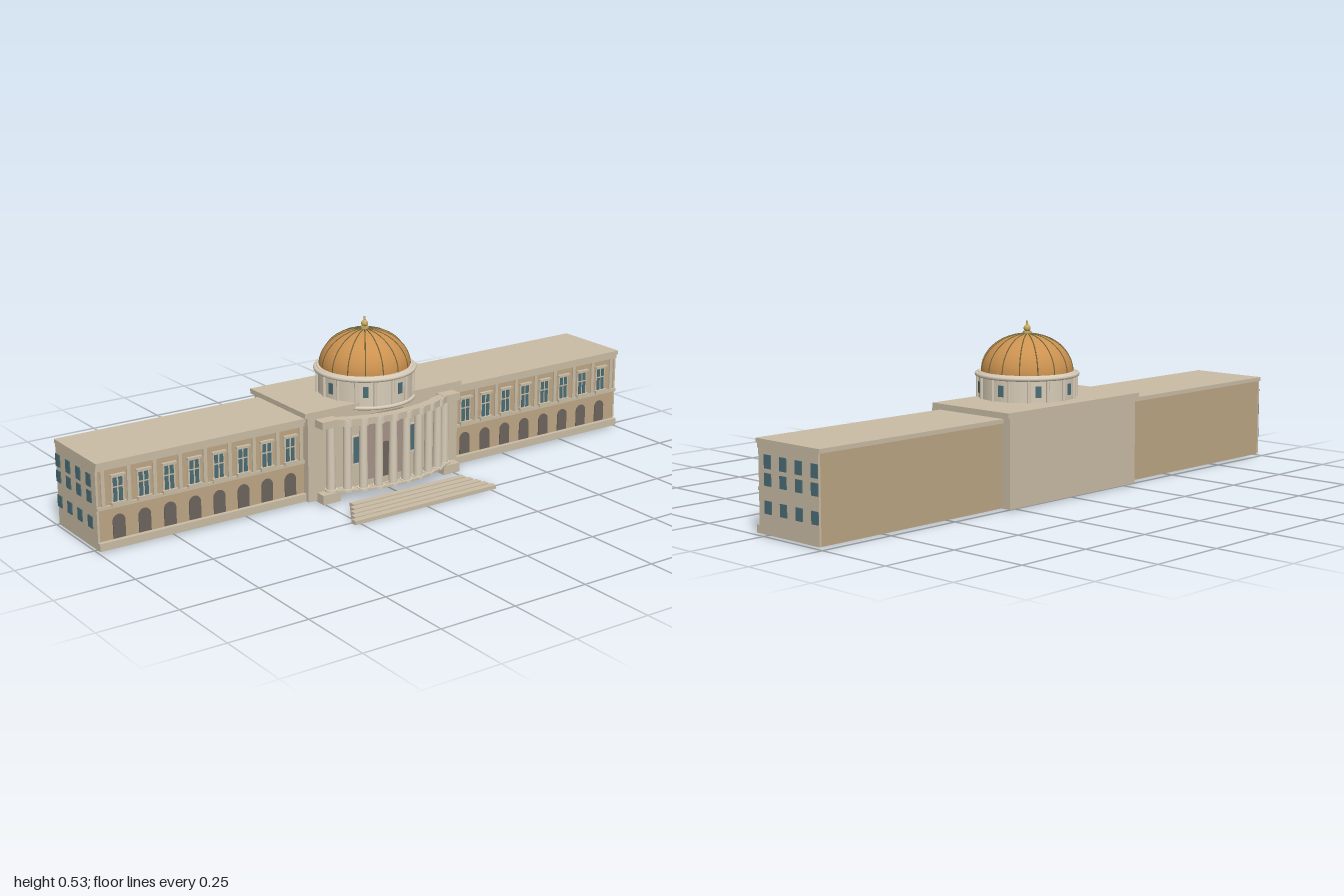
import * as THREE from 'three';

const paint = (name, color) => {
  const m = new THREE.MeshStandardMaterial({ color });
  m.name = name;
  return m;
};

export function createModel() {
  const stone = paint('stone', 0xc9bca5), tan = paint('tan wall', 0xbda685);
  const pale = paint('pale stone', 0xd8ccb8), glass = paint('teal glass', 0x4b6d76);
  const dark = paint('dark doorway', 0x6c645e), rose = paint('entrance wall', 0xa69388);
  const copper = paint('copper', 0xcc9250), rib = paint('rib', 0x70663c), gold = paint('gold', 0xc8ac62);
  const root = new THREE.Group();
  root.name = 'domedBuilding';

  const add = (parent, name, geo, mat, x = 0, y = 0, z = 0) => {
    const m = new THREE.Mesh(geo, mat);
    m.name = name;
    m.position.set(x, y, z);
    parent.add(m);
    return m;
  };
  // Box given by its extents along each axis
  const box = (parent, name, mat, x0, x1, y0, y1, z0, z1) =>
    add(parent, name, new THREE.BoxGeometry(x1 - x0, y1 - y0, z1 - z0), mat,
      (x0 + x1) / 2, (y0 + y1) / 2, (z0 + z1) / 2);
  const group = (parent, name) => {
    const g = new THREE.Group();
    g.name = name;
    parent.add(g);
    return g;
  };
  // Round-headed plate standing on its base line
  const archGeo = (w, h, d) => {
    const s = new THREE.Shape();
    s.moveTo(-w / 2, 0);
    s.lineTo(w / 2, 0);
    s.lineTo(w / 2, h - w / 2);
    s.absarc(0, h - w / 2, w / 2, 0, Math.PI, false);
    s.closePath();
    return new THREE.ExtrudeGeometry(s, { depth: d, bevelEnabled: false, curveSegments: 10 });
  };

  // Central block and roof slab
  const center = group(root, 'centralBlock');
  box(center, 'centralWalls', stone, -0.288, 0.288, 0.005, 0.28, -0.266, 0.043);
  box(center, 'roofSlab', stone, -0.3, 0.3, 0.28, 0.296, -0.272, 0.048);
  box(center, 'entranceWall', rose, -0.07, 0.07, 0.035, 0.25, 0.043, 0.046);
  add(center, 'entranceDoor', archGeo(0.06, 0.115, 0.003), dark, 0, 0.035, 0.046);
  for (const s of [-1, 1]) {
    box(center, 'windowFrame', pale, s * 0.11 - 0.016, s * 0.11 + 0.016, 0.095, 0.19, 0.043, 0.046);
    box(center, 'entranceWindow', glass, s * 0.11 - 0.011, s * 0.11 + 0.011, 0.1, 0.185, 0.046, 0.048);
  }

  // Two long wings, built facing the front on each side
  for (const s of [-1, 1]) {
    const wing = group(root, s > 0 ? 'leftWing' : 'rightWing');
    const wbox = (name, mat, a, b, ...r) => box(wing, name, mat, Math.min(s * a, s * b), Math.max(s * a, s * b), ...r);
    wbox('wingWalls', tan, 0.28, 0.99, 0.006, 0.262, -0.235, 0.018);
    wbox('endWall', stone, 0.99, 0.997, 0.006, 0.262, -0.235, 0.02);
    wbox('wingRoof', stone, 0.28, 0.998, 0.262, 0.275, -0.24, 0.03);
    wbox('frieze', stone, 0.28, 0.997, 0.248, 0.262, 0.015, 0.024);
    wbox('wingBase', stone, 0.28, 0.997, 0.006, 0.03, 0.01, 0.032);
    wbox('stringCourse', stone, 0.28, 0.997, 0.128, 0.138, 0.01, 0.025);
    for (let i = 0; i < 8; i++) {
      const x = s * (0.339 + i * 0.084);
      add(wing, 'groundArch', archGeo(0.04, 0.073, 0.003), dark, x, 0.032, 0.018);
      box(wing, 'windowFrame', stone, x - 0.021, x + 0.021, 0.138, 0.226, 0.018, 0.021);
      for (const k of [-1, 1]) {
        box(wing, 'lowerPane', glass, x + k * 0.009 - 0.006, x + k * 0.009 + 0.006, 0.144, 0.188, 0.021, 0.023);
        box(wing, 'upperPane', glass, x + k * 0.009 - 0.006, x + k * 0.009 + 0.006, 0.193, 0.219, 0.021, 0.023);
      }
      box(wing, 'windowHood', stone, x - 0.024, x + 0.024, 0.224, 0.23, 0.018, 0.029);
      box(wing, 'balcony', stone, x - 0.024, x + 0.024, 0.134, 0.146, 0.018, 0.03);
    }
    for (let i = 0; i < 9; i++) {
      const x = s * (0.299 + i * 0.0845);
      box(wing, 'pilaster', stone, x - 0.006, x + 0.006, 0.138, 0.248, 0.016, 0.023);
    }
    // End windows in three rows of four
    for (const [y0, y1] of [[0.066, 0.103], [0.145, 0.181], [0.194, 0.233]])
      for (let j = 0; j < 4; j++) {
        const z = -0.021 - j * 0.0663;
        wbox('endWindow', glass, 0.997, 1, y0, y1, z - 0.014, z + 0.014);
      }
  }

  // Bowed portico on an arc of ten columns
  const portico = group(root, 'portico');
  const R = 0.433, cz = 0.125 - R, half = 0.53;
  const beam = (name, y, h, r0, r1) => {
    const s = new THREE.Shape();
    s.absarc(0, 0, r1, -Math.PI / 2 - half, -Math.PI / 2 + half, false);
    s.absarc(0, 0, r0, -Math.PI / 2 + half, -Math.PI / 2 - half, true);
    s.closePath();
    const g = new THREE.ExtrudeGeometry(s, { depth: h, bevelEnabled: false, curveSegments: 30 });
    add(portico, name, g.rotateX(-Math.PI / 2), stone, 0, y, cz);
  };
  beam('porticoPlinth', 0.034, 0.006, R - 0.017, R + 0.017);
  beam('entablature', 0.25, 0.021, R - 0.016, R + 0.016);
  const shaft = new THREE.CylinderGeometry(0.0125, 0.0145, 0.205, 16);
  const disc = new THREE.CylinderGeometry(0.02, 0.02, 0.008, 16);
  const capital = new THREE.CylinderGeometry(0.02, 0.02, 0.023, 16);
  for (let i = 0; i < 10; i++) {
    const a = (i / 9 - 0.5) * 2 * half;
    const x = R * Math.sin(a), z = cz + R * Math.cos(a);
    add(portico, 'column', shaft, pale, x, 0.1445, z);
    add(portico, 'columnBase', disc, pale, x, 0.038, z);
    add(portico, 'capital', capital, pale, x, 0.2585, z);
  }
  for (const s of [-1, 1]) {
    box(portico, 'endPedestal', stone, s * 0.232 - 0.032, s * 0.232 + 0.032, 0.006, 0.036, 0.056, 0.091);
    box(portico, 'endEntablature', stone, s * 0.232 - 0.032, s * 0.232 + 0.032, 0.248, 0.272, 0.048, 0.088);
  }

  // Broad steps narrowing toward the portico
  for (let i = 0; i < 5; i++) {
    const w = 0.27 - i * 0.0135, y = i * 0.0034, z = 0.272 - i * 0.0218;
    box(root, 'step', stone, -w, w, y, y + 0.0125, z - 0.0222, z);
  }

  // Drum with windows and slim pilasters
  const dome = group(root, 'dome');
  dome.position.z = -0.066;
  add(dome, 'drum', new THREE.CylinderGeometry(0.152, 0.152, 0.1, 48), pale, 0, 0.322, 0);
  const ring = (name, r, t, y) => add(dome, name, new THREE.TorusGeometry(r, t, 8, 64).rotateX(Math.PI / 2), pale, 0, y, 0);
  ring('drumFoot', 0.158, 0.006, 0.279);
  ring('drumCornice', 0.157, 0.007, 0.369);
  add(dome, 'domeSeat', new THREE.CylinderGeometry(0.152, 0.157, 0.006, 48), pale, 0, 0.3755, 0);
  const post = new THREE.CylinderGeometry(0.0055, 0.0055, 0.09, 10);
  for (let i = 0; i < 16; i++) {
    const a = i * Math.PI / 8;
    add(dome, 'drumPilaster', post, pale, 0.154 * Math.cos(a), 0.322, 0.154 * Math.sin(a));
  }
  for (let i = 0; i < 8; i++) {
    const a = -Math.PI / 16 + i * Math.PI / 4;
    const w = add(dome, 'drumWindow', new THREE.BoxGeometry(0.005, 0.035, 0.018), glass,
      0.1515 * Math.cos(a), 0.329, 0.1515 * Math.sin(a));
    w.rotation.y = -a;
  }

  // Elliptical copper shell with ribs
  const arc = (r, h, n) => Array.from({ length: n + 1 }, (_, i) => {
    const t = (i / n) * Math.PI / 2;
    return new THREE.Vector2(r * Math.cos(t), 0.377 + h * Math.sin(t));
  });
  add(dome, 'shell', new THREE.LatheGeometry(arc(0.1445, 0.116, 20), 64), copper);
  const ribPath = new THREE.CatmullRomCurve3(arc(0.1447, 0.1163, 12).map(p => new THREE.Vector3(p.x, p.y, 0)));
  const ribGeo = new THREE.TubeGeometry(ribPath, 24, 0.0018, 6);
  for (let i = 0; i < 16; i++) add(dome, 'rib', ribGeo, rib).rotation.y = (i + 0.5) * Math.PI / 8;

  // Gilded finial
  add(dome, 'finialBase', new THREE.CylinderGeometry(0.013, 0.013, 0.01, 20), gold, 0, 0.496, 0);
  add(dome, 'finialBall', new THREE.SphereGeometry(0.011, 20, 14), gold, 0, 0.51, 0);
  add(dome, 'finialSpike', new THREE.CylinderGeometry(0.003, 0.004, 0.017, 12), gold, 0, 0.5245, 0);
  return root;
}
